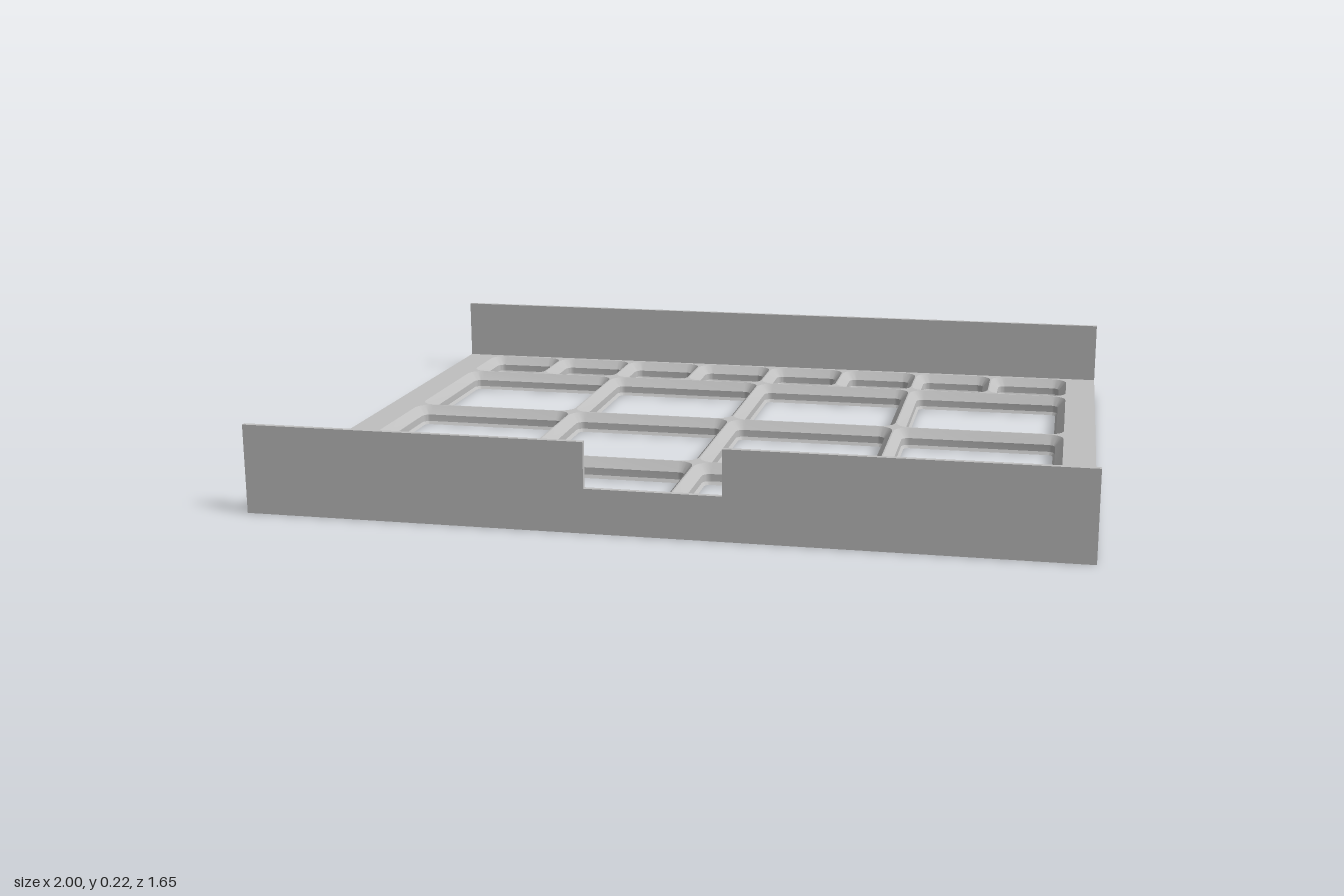
import * as THREE from 'three';
import { toCreasedNormals } from 'three/addons/utils/BufferGeometryUtils.js';

const HX = 1, HZ = 0.826, BASE_H = 0.051, TOP = 0.219, WALL = 0.013;
const PITCH = 0.459, GAP = 0.002, RADIUS = 0.042;
// Pocket profile from bottom to top: [height, inset from the cell edge]
const PROFILE = [[0, 0.027], [0.008, 0.021], [0.027, 0.021], [BASE_H, 0]];

// Counter-clockwise rounded rectangle, seen from above (second coordinate is -z)
function ring(cell, inset) {
  const half = cell.size / 2 - GAP - inset, r = RADIUS - inset, pts = [], steps = 6;
  for (let c = 0; c < 4; c++) {
    const sx = c === 0 || c === 3 ? 1 : -1, sy = c < 2 ? 1 : -1;
    for (let i = 0; i <= steps; i++) {
      const a = (c + i / steps) * Math.PI / 2;
      pts.push(new THREE.Vector2(
        cell.x + sx * (half - r) + r * Math.cos(a),
        -cell.z + sy * (half - r) + r * Math.sin(a)));
    }
  }
  return pts;
}

// Flat sheet of the frame with one opening per cell
function sheet(cells, inset) {
  const shape = new THREE.Shape([[-HX, -HZ], [HX, -HZ], [HX, HZ], [-HX, HZ]]
    .map(p => new THREE.Vector2(...p)));
  for (const cell of cells) shape.holes.push(new THREE.Path(ring(cell, inset).reverse()));
  return new THREE.ShapeGeometry(shape);
}

// Stepped, chamfered inner wall of one cell
function pocket(cell) {
  const pos = [], put = (p, y) => pos.push(p.x, y, -p.y);
  for (let k = 0; k < PROFILE.length - 1; k++) {
    const [y0, i0] = PROFILE[k], [y1, i1] = PROFILE[k + 1];
    const lo = ring(cell, i0), hi = ring(cell, i1);
    for (let i = 0; i < lo.length; i++) {
      const j = (i + 1) % lo.length;
      put(lo[i], y0); put(hi[j], y1); put(lo[j], y0);
      put(lo[i], y0); put(hi[i], y1); put(hi[j], y1);
    }
  }
  const g = new THREE.BufferGeometry();
  g.setAttribute('position', new THREE.Float32BufferAttribute(pos, 3));
  return toCreasedNormals(g, Math.PI / 6);
}

export function createModel() {
  const group = new THREE.Group();
  group.name = 'gridTray';
  const grey = new THREE.MeshStandardMaterial({ color: 0xc0c0c0 });
  grey.name = 'light grey';
  const add = (geo, name) => {
    const m = new THREE.Mesh(geo, grey);
    m.name = name;
    group.add(m);
    return m;
  };

  // Three rows of full cells in front, one row of half cells at the back
  const cells = [], front = 1.75 * PITCH;
  for (let row = 0; row < 3; row++)
    for (let col = 0; col < 4; col++)
      cells.push({ x: (col - 1.5) * PITCH, z: front - (row + 0.5) * PITCH, size: PITCH });
  for (let col = 0; col < 8; col++)
    cells.push({ x: (col - 3.5) * PITCH / 2, z: -front + PITCH / 4, size: PITCH / 2 });

  // Frame top and underside
  add(sheet(cells, 0).rotateX(-Math.PI / 2), 'frameTop').position.y = BASE_H;
  add(sheet(cells, PROFILE[0][1]).rotateX(-Math.PI / 2).scale(1, 1, 1), 'frameUnderside');
  const under = group.getObjectByName('frameUnderside').geometry;
  under.index.array.reverse();
  under.attributes.normal.array.forEach((v, i, a) => { a[i] = -v; });

  // Frame outer edges
  [['frontEdge', 0, HZ, 2 * HX, 0], ['leftEdge', HX, 0, 2 * HZ, 1],
    ['backEdge', 0, -HZ, 2 * HX, 2], ['rightEdge', -HX, 0, 2 * HZ, 3]]
    .forEach(([name, x, z, w, turn]) => {
      const g = new THREE.PlaneGeometry(w, BASE_H).rotateY(turn * Math.PI / 2);
      add(g.translate(x, BASE_H / 2, z), name);
    });

  // Cell pockets
  cells.forEach((cell, i) => add(pocket(cell), `cellPocket${i + 1}`));

  // Front wall with a notch, and plain back wall
  const wall = (pts, z, name) => {
    const shape = new THREE.Shape(pts.map(p => new THREE.Vector2(...p)));
    const g = new THREE.ExtrudeGeometry(shape, { depth: WALL, bevelEnabled: false });
    add(g.translate(0, 0, z), name);
  };
  const n = 0.163, ny = 0.108;
  wall([[-HX, BASE_H], [HX, BASE_H], [HX, TOP], [n, TOP], [n, ny], [-n, ny], [-n, TOP], [-HX, TOP]],
    HZ - WALL, 'frontWall');
  wall([[-HX, BASE_H], [HX, BASE_H], [HX, TOP], [-HX, TOP]], -HZ, 'backWall');
  return group;
}
